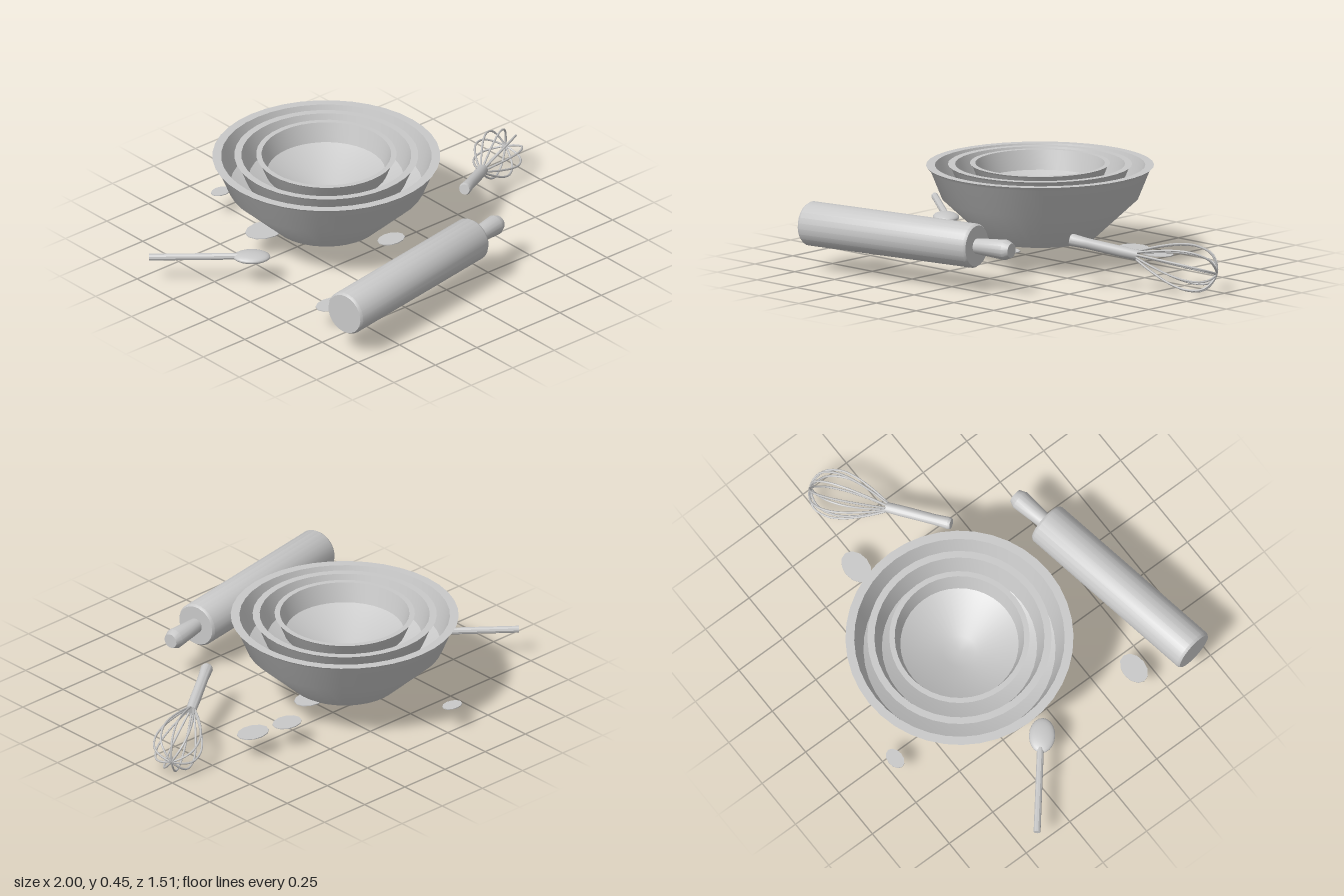
import * as THREE from 'three';
import { toCreasedNormals } from 'three/addons/utils/BufferGeometryUtils.js';

const grey = new THREE.MeshStandardMaterial({ color: 0xc8c8c8 });
grey.name = 'plain grey';

const V = (x, y, z) => new THREE.Vector3(x, y, z);

function mesh(name, geometry) {
  const m = new THREE.Mesh(geometry, grey);
  m.name = name;
  return m;
}

// Turned part: profile of [radius, height], with hard edges kept sharp
function turned(name, profile, sides) {
  const pts = profile.map(([r, y]) => new THREE.Vector2(r, y));
  return mesh(name, toCreasedNormals(new THREE.LatheGeometry(pts, sides), 0.6));
}

// Place an object so that its y axis runs from a towards b
function aim(object, a, b) {
  object.position.copy(a);
  object.quaternion.setFromUnitVectors(V(0, 1, 0), b.clone().sub(a).normalize());
  return object;
}

// Nested bowls: one profile, scaled, measured downwards from the rim
function bowl(name, radius, top) {
  const s = radius / 0.52;
  const profile = [
    [0, -0.335], [0.25, -0.335], [0.45, -0.148], [0.503, -0.017], [0.52, 0],
    [0.48, 0], [0.438, -0.145], [0.122, -0.312], [0, -0.312],
  ].map(([r, y]) => [r * s, y * s]);
  const b = turned(name, profile, 40);
  b.position.set(-0.115, top, -0.205);
  return b;
}

function rollingPin() {
  const g = new THREE.Group();
  g.name = 'rollingPin';
  g.add(turned('rollingPinBody',
    [[0, 0], [0.094, 0], [0.102, 0.012], [0.102, 0.908], [0.094, 0.92], [0, 0.92]], 24));
  g.add(turned('rollingPinHandle',
    [[0, 0.91], [0.034, 0.91], [0.038, 0.95], [0.047, 1.08], [0.034, 1.11], [0, 1.11]], 16));
  return aim(g, V(-0.75, 0.203, 0.655), V(0.155, 0.203, 0.5));
}

function whisk() {
  const g = new THREE.Group();
  g.name = 'whisk';
  g.add(turned('whiskHandle',
    [[0, 0], [0.024, 0], [0.029, 0.012], [0.025, 0.08], [0.026, 0.24], [0.024, 0.318], [0, 0.318]], 14));
  // Wire loops running up one side and down the other
  const side = [[0.012, 0.3], [0.062, 0.4], [0.099, 0.5], [0.109, 0.58], [0.085, 0.655]];
  const loops = 5;
  for (let i = 0; i < loops; i++) {
    const pts = [
      ...side.map(([r, y]) => V(r, y, 0)),
      V(0, 0.693, 0),
      ...side.slice().reverse().map(([r, y]) => V(-r, y, 0)),
    ];
    const wire = mesh('whiskWire', new THREE.TubeGeometry(new THREE.CatmullRomCurve3(pts), 40, 0.005, 6));
    wire.rotation.y = (i * Math.PI) / loops;
    g.add(wire);
  }
  return aim(g, V(0.41, 0.217, 0.15), V(0.67, 0.155, -0.02));
}

function spoon() {
  const g = new THREE.Group();
  g.name = 'spoon';
  const a = V(-0.99, 0.13, -0.43), b = V(-0.67, 0.13, -0.165);
  const length = a.distanceTo(b);
  g.add(aim(turned('spoonHandle',
    [[0, 0], [0.016, 0], [0.016, length], [0, length]], 10), a, b));
  const head = mesh('spoonHead', new THREE.SphereGeometry(1, 20, 12));
  head.scale.set(0.085, 0.022, 0.06);
  head.position.set(-0.632, 0.13, -0.127);
  head.rotation.y = -Math.atan2(b.z - a.z, b.x - a.x);
  g.add(head);
  return g;
}

// Flat spots lying on the table: x, z, half width, half depth
const spots = [
  [-0.305, -0.72, 0.052, 0.036], [0.54, -0.295, 0.083, 0.06], [0.36, -0.33, 0.075, 0.056],
  [-0.62, 0.41, 0.078, 0.055], [-0.01, 0.125, 0.07, 0.05], [0.13, -0.235, 0.08, 0.06],
  [-0.39, -0.315, 0.1, 0.075],
];

export function createModel() {
  const model = new THREE.Group();
  model.name = 'bakingSet';
  model.add(bowl('largeBowl', 0.52, 0.435), bowl('mediumBowl', 0.42, 0.44), bowl('smallBowl', 0.32, 0.445));
  model.add(rollingPin(), whisk(), spoon());
  for (const [x, z, w, d] of spots) {
    const spot = mesh('tableSpot', new THREE.CylinderGeometry(1, 1, 0.004, 12));
    spot.scale.set(w, 1, d);
    spot.position.set(x, 0.102, z);
    model.add(spot);
  }
  return model;
}
